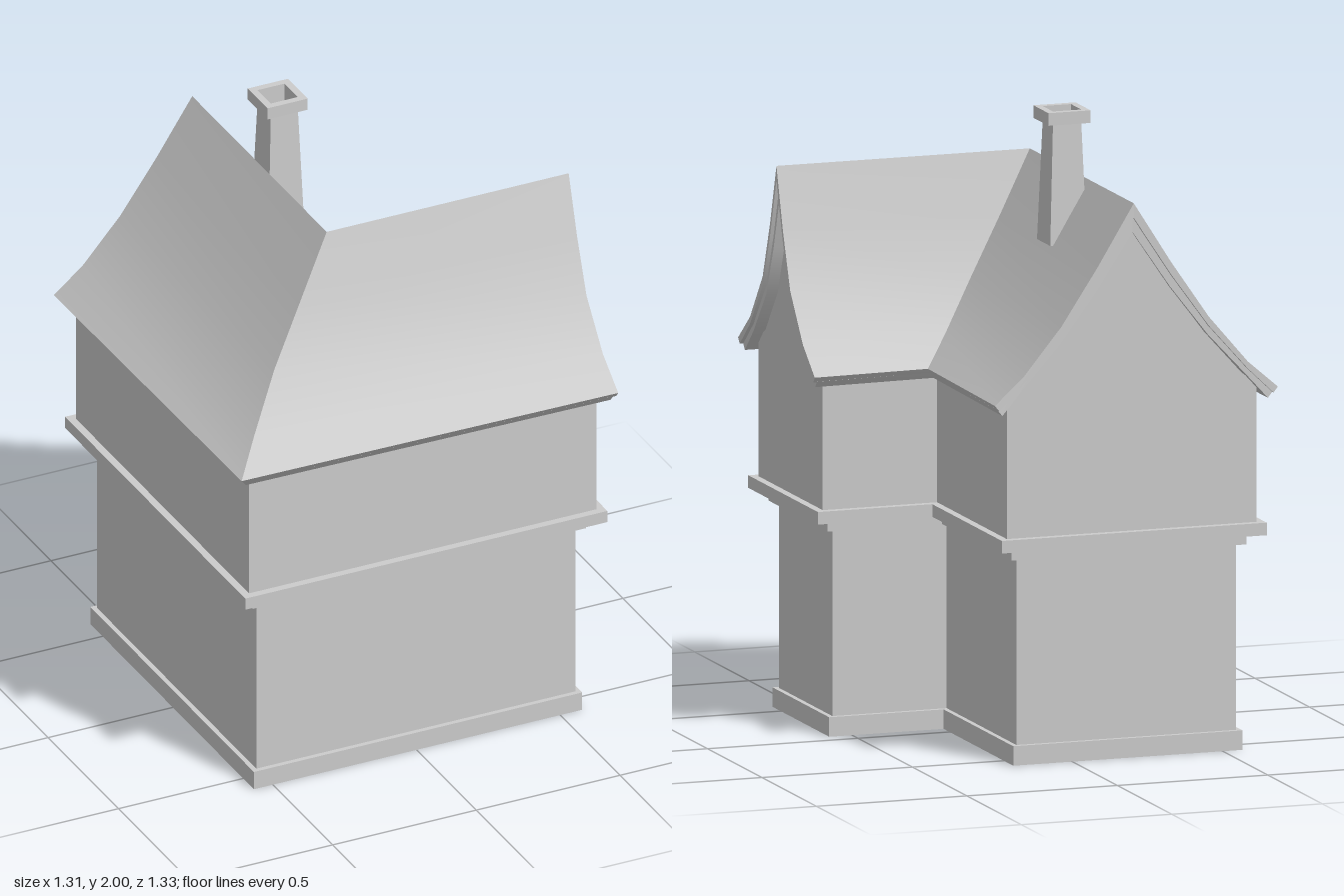
import * as THREE from 'three';
import { toCreasedNormals } from 'three/addons/utils/BufferGeometryUtils.js';

const RIDGE_X = -0.185, RIDGE_Z = 0.315; // ridge lines of the long wing and the front wing
const BACK = -0.64, EAST = 0.657;        // gable ends of the roof
// Bell-curved roof profile: height, half widths of both wings, thickness factor
const Y = [1.775, 1.58, 1.4, 1.25, 1.165];
const A = [0, 0.12, 0.24, 0.365, 0.46];
const B = [0, 0.055, 0.118, 0.23, 0.335];
const K = [2.6, 2.2, 1.6, 1.25, 1];

const profile = (i, t) => {
  const inset = i === 4 ? 0.8 * t : 0;
  return { a: A[i] - inset, b: B[i] - inset, y: Y[i] - K[i] * t, f: i / 4 };
};

// One mitred sheet of roof; side 1 wraps the outer corner, -1 the inner valley
function roofSheet(side, t0, t1, trim) {
  const loop = [];
  for (let i = 0; i < 5; i++) loop.push(profile(i, t0));
  for (let i = 4; i >= 0; i--) loop.push(profile(i, t1));
  const rows = loop.map(({ a, b, y, f }) => {
    const cols = [
      [RIDGE_X - side * (a + 0.01 * f), y, BACK - 0.024 * f + trim],
      [RIDGE_X - side * a, y, RIDGE_Z + side * b],
      [EAST - trim, y, RIDGE_Z + side * (b + 0.017 * f)],
    ];
    return side > 0 ? cols : cols.reverse();
  });
  const pos = [];
  const quad = (p, q, r, s) => pos.push(...p, ...q, ...r, ...p, ...r, ...s);
  for (let i = 0; i < 9; i++)
    for (let j = 0; j < 2; j++)
      quad(rows[i][j], rows[i + 1][j], rows[i + 1][j + 1], rows[i][j + 1]);
  // gable edges
  for (let i = 0; i < 4; i++) {
    quad(rows[i][0], rows[9 - i][0], rows[8 - i][0], rows[i + 1][0]);
    quad(rows[i][2], rows[i + 1][2], rows[8 - i][2], rows[9 - i][2]);
  }
  const g = new THREE.BufferGeometry();
  g.setAttribute('position', new THREE.Float32BufferAttribute(pos, 3));
  g.computeVertexNormals();
  return toCreasedNormals(g, 0.68);
}

// L-shaped slab: the wall footprint grown by m, from height y0 to y1
function footprint(m, y0, y1) {
  const w = -0.55 - m, e = 0.56 + m, s = 0.56 + m, n = -0.57 - m, ix = 0.18 + m, iz = 0.07 - m;
  const shape = new THREE.Shape(
    [[w, s], [e, s], [e, iz], [ix, iz], [ix, n], [w, n]].map(([x, z]) => new THREE.Vector2(x, -z)));
  return new THREE.ExtrudeGeometry(shape, { depth: y1 - y0, bevelEnabled: false })
    .rotateX(-Math.PI / 2).translate(0, y0, 0);
}

// Gable wall block that fills the space under the curved roof
function gable(key, half, depth) {
  const right = [0, 1, 2, 3].map((i) => {
    const p = profile(i, 0.033);
    return [p[key], p.y];
  });
  right.push([half, 1.17], [half, 1.16]);
  const left = right.slice(1).reverse().map(([x, y]) => [-x, y]);
  const shape = new THREE.Shape([...right, ...left].map(([x, y]) => new THREE.Vector2(x, y)));
  return new THREE.ExtrudeGeometry(shape, { depth, bevelEnabled: false });
}

export function createModel() {
  const house = new THREE.Group();
  house.name = 'house';
  const mat = new THREE.MeshStandardMaterial({ color: 0xcccccc });
  const flat = new THREE.MeshStandardMaterial({ color: 0xcccccc, flatShading: true });
  const add = (name, geometry, material = mat) => {
    const mesh = new THREE.Mesh(geometry, material);
    mesh.name = name;
    house.add(mesh);
  };

  // Storeys and their trims
  add('plinth', footprint(0.016, 0, 0.062));
  add('lowerWalls', footprint(0, 0.062, 0.66));
  add('lowerTrim', footprint(0.025, 0.655, 0.69));
  add('upperTrim', footprint(0.075, 0.69, 0.73));
  add('upperWalls', footprint(0.05, 0.73, 1.16));

  // Gables
  add('backGable', gable('a', 0.415, RIDGE_Z + 0.62).translate(RIDGE_X, 0, -0.62));
  add('sideGable', gable('b', 0.295, 0.61 - RIDGE_X).rotateY(Math.PI / 2).translate(RIDGE_X, 0, RIDGE_Z));

  // Roof covering with a slightly recessed board beneath it
  for (const [side, label] of [[1, 'outer'], [-1, 'inner']]) {
    add(label + 'Roof', roofSheet(side, 0, 0.018, 0));
    add(label + 'RoofBoard', roofSheet(side, 0.016, 0.036, 0.012));
  }

  // Square chimney, tapered, with a hollow cap
  const stack = [[0.061, 1.575], [0.047, 1.96], [0.07, 1.96], [0.07, 2], [0.047, 2], [0.047, 1.93], [0, 1.93]]
    .map(([h, y]) => new THREE.Vector2(h * Math.SQRT2, y));
  add('chimney', new THREE.LatheGeometry(stack, 4).rotateY(Math.PI / 4).translate(-0.112, 0, -0.182), flat);

  return house;
}
